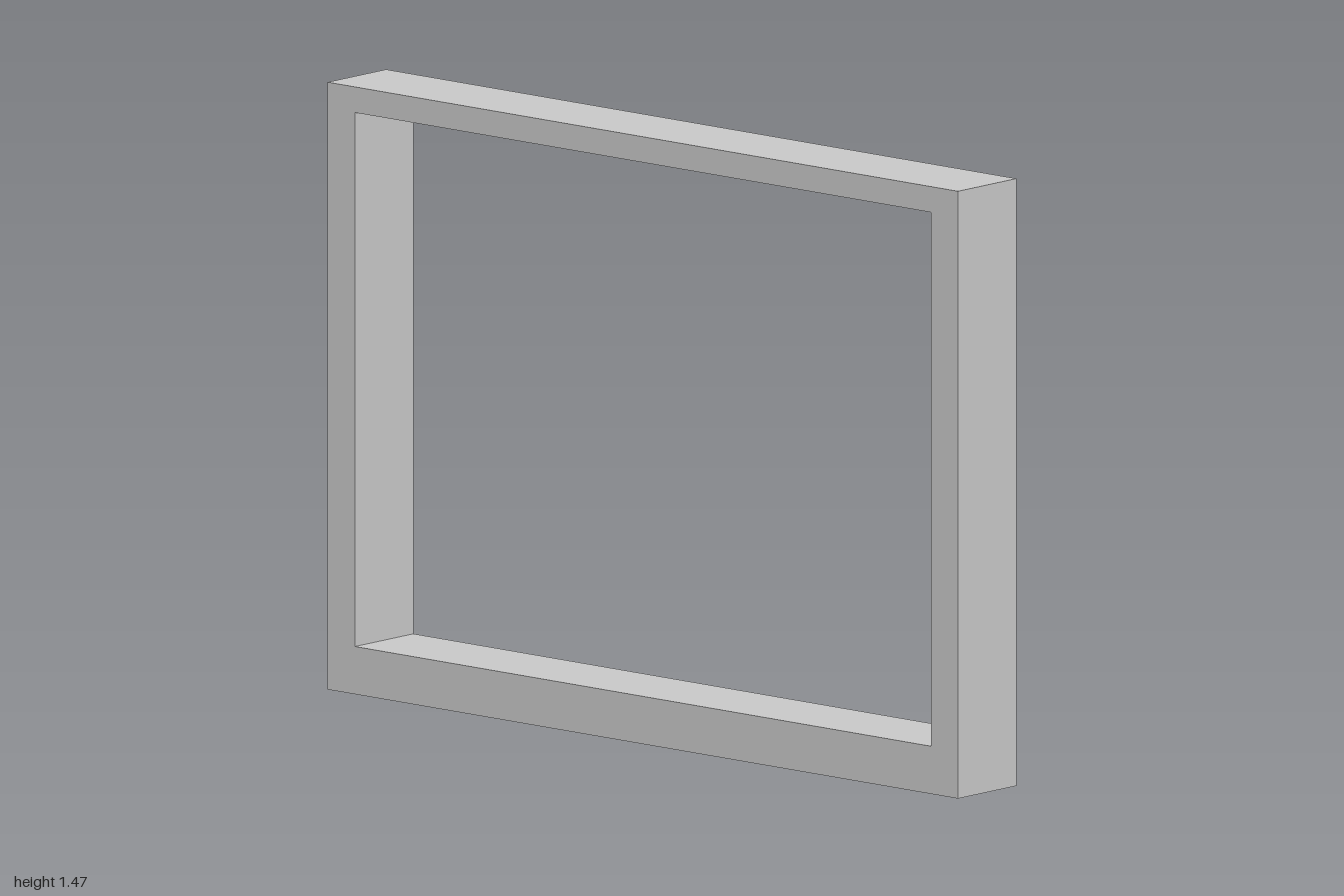
import * as THREE from 'three';

const rect = (target, x0, y0, x1, y1) => {
  target.moveTo(x0, y0);
  target.lineTo(x1, y0);
  target.lineTo(x1, y1);
  target.lineTo(x0, y1);
  target.closePath();
  return target;
};

export function createModel() {
  const group = new THREE.Group();
  group.name = 'rectangularFrame';
  const depth = 0.208;

  // Outer outline with the opening cut out; the bottom rail is thicker than the top
  const outline = rect(new THREE.Shape(), -1, 0, 1, 1.465);
  outline.holes.push(rect(new THREE.Path(), -0.913, 0.115, 0.915, 1.403));

  const geometry = new THREE.ExtrudeGeometry(outline, { depth, bevelEnabled: false });
  geometry.translate(0, 0, -depth / 2);

  const frame = new THREE.Mesh(geometry, new THREE.MeshStandardMaterial({ color: 0xcccccc }));
  frame.name = 'frame';
  group.add(frame);
  return group;
}
